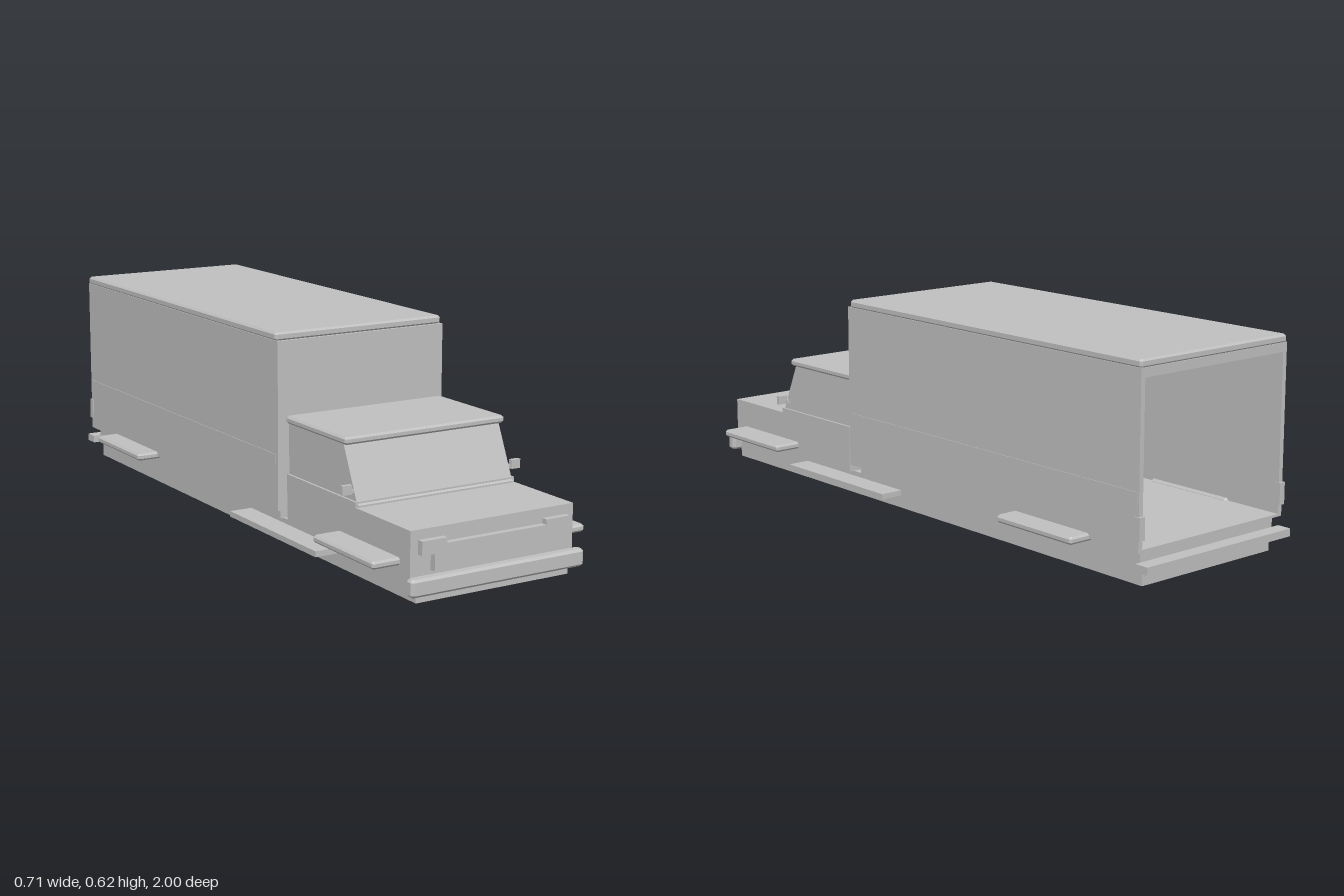
import * as THREE from 'three';

export function createModel() {
  const truck = new THREE.Group();
  const grey = new THREE.MeshStandardMaterial({ color: 0xc0c0c0 });

  const add = (name, geometry) => {
    const mesh = new THREE.Mesh(geometry, grey);
    mesh.name = name;
    truck.add(mesh);
    return mesh;
  };

  // Plain box given by its limits on each axis
  const box = (name, x0, x1, y0, y1, z0, z1) => {
    const mesh = add(name, new THREE.BoxGeometry(x1 - x0, y1 - y0, z1 - z0));
    mesh.position.set((x0 + x1) / 2, (y0 + y1) / 2, (z0 + z1) / 2);
    return mesh;
  };

  // Box with every edge chamfered by b
  const slab = (name, x0, x1, y0, y1, z0, z1, b = 0.006) => {
    const w = (x1 - x0) / 2 - b, d = (z1 - z0) / 2 - b, c = b * 0.6;
    const outline = [
      [-w + c, -d], [w - c, -d], [w, -d + c], [w, d - c],
      [w - c, d], [-w + c, d], [-w, d - c], [-w, -d + c],
    ].map(([x, z]) => new THREE.Vector2(x, z));
    const geometry = new THREE.ExtrudeGeometry(new THREE.Shape(outline), {
      depth: y1 - y0 - 2 * b, bevelSize: b, bevelThickness: b, bevelSegments: 1,
    });
    geometry.rotateX(-Math.PI / 2);
    const mesh = add(name, geometry);
    mesh.position.set((x0 + x1) / 2, y0 + b, (z0 + z1) / 2);
    return mesh;
  };

  // Side profile given as [z, y], extruded across the width
  const profile = (name, points, halfWidth) => {
    const shape = new THREE.Shape(points.map(([z, y]) => new THREE.Vector2(-z, y)));
    const geometry = new THREE.ExtrudeGeometry(shape, { depth: 2 * halfWidth, bevelEnabled: false });
    geometry.translate(0, 0, -halfWidth).rotateY(Math.PI / 2);
    return add(name, geometry);
  };

  // Chassis and bumpers
  box('chassis', -0.255, 0.255, 0, 0.07, -0.95, 0.968);
  box('cargoSubframe', -0.265, 0.265, 0.068, 0.102, -0.95, 0.28);
  slab('frontBumper', -0.288, 0.288, 0.025, 0.075, 0.965, 1.0, 0.007);
  box('rearBumper', -0.287, 0.287, 0.047, 0.07, -1.0, -0.955);

  // Hood, cab and cab roof
  box('hood', -0.271, 0.271, 0.07, 0.2, 0.33, 0.963);
  profile('cab', [[0.33, 0.19], [0.7, 0.19], [0.7, 0.205], [0.69, 0.215],
    [0.622, 0.367], [0.33, 0.367]], 0.264);
  box('cabBeltline', -0.271, 0.271, 0.19, 0.215, 0.33, 0.695);
  slab('cabRoof', -0.271, 0.271, 0.364, 0.386, 0.32, 0.645);

  // Grille with raised headlamp ends
  const half = [[0.205, 0.083], [0.205, 0.132], [0.246, 0.132], [0.246, 0.172],
    [0.165, 0.172], [0.165, 0.157]];
  const outline = [...half, ...half.map(([x, y]) => [-x, y]).reverse()];
  const grille = add('grille', new THREE.ExtrudeGeometry(
    new THREE.Shape(outline.map(([x, y]) => new THREE.Vector2(x, y))),
    { depth: 0.022, bevelEnabled: false }));
  grille.position.z = 0.96;

  // Hollow cargo body, open at the rear
  box('cargoFloor', -0.287, 0.287, 0.1, 0.108, -0.965, 0.305);
  box('cargoFrontWall', -0.287, 0.287, 0.1, 0.602, 0.295, 0.305);
  box('cargoRearHeader', -0.287, 0.287, 0.575, 0.602, -0.965, -0.945);
  slab('cargoRoof', -0.288, 0.288, 0.6, 0.625, -0.966, 0.296);

  // Paired parts on both sides
  for (const side of [-1, 1]) {
    const pair = (make, name, inner, outer, ...rest) =>
      make(name, Math.min(side * inner, side * outer), Math.max(side * inner, side * outer), ...rest);
    pair(box, 'cargoSideWall', 0.272, 0.287, 0.1, 0.602, -0.965, 0.305);
    pair(box, 'cargoSideRail', 0.28, 0.289, 0.235, 0.268, -0.96, 0.29);
    pair(box, 'tailLight', 0.27, 0.29, 0.135, 0.2, -0.972, -0.95);
    pair(slab, 'frontFender', 0.25, 0.356, 0.093, 0.115, 0.608, 0.915);
    pair(slab, 'rearFender', 0.262, 0.356, 0.093, 0.115, -0.777, -0.468);
    pair(box, 'sideStep', 0.24, 0.328, 0.038, 0.055, 0.09, 0.58);
    pair(box, 'sideMirror', 0.272, 0.303, 0.234, 0.261, 0.667, 0.68);
    pair(box, 'mirrorArm', 0.255, 0.275, 0.236, 0.246, 0.66, 0.676);
  }

  return truck;
}
